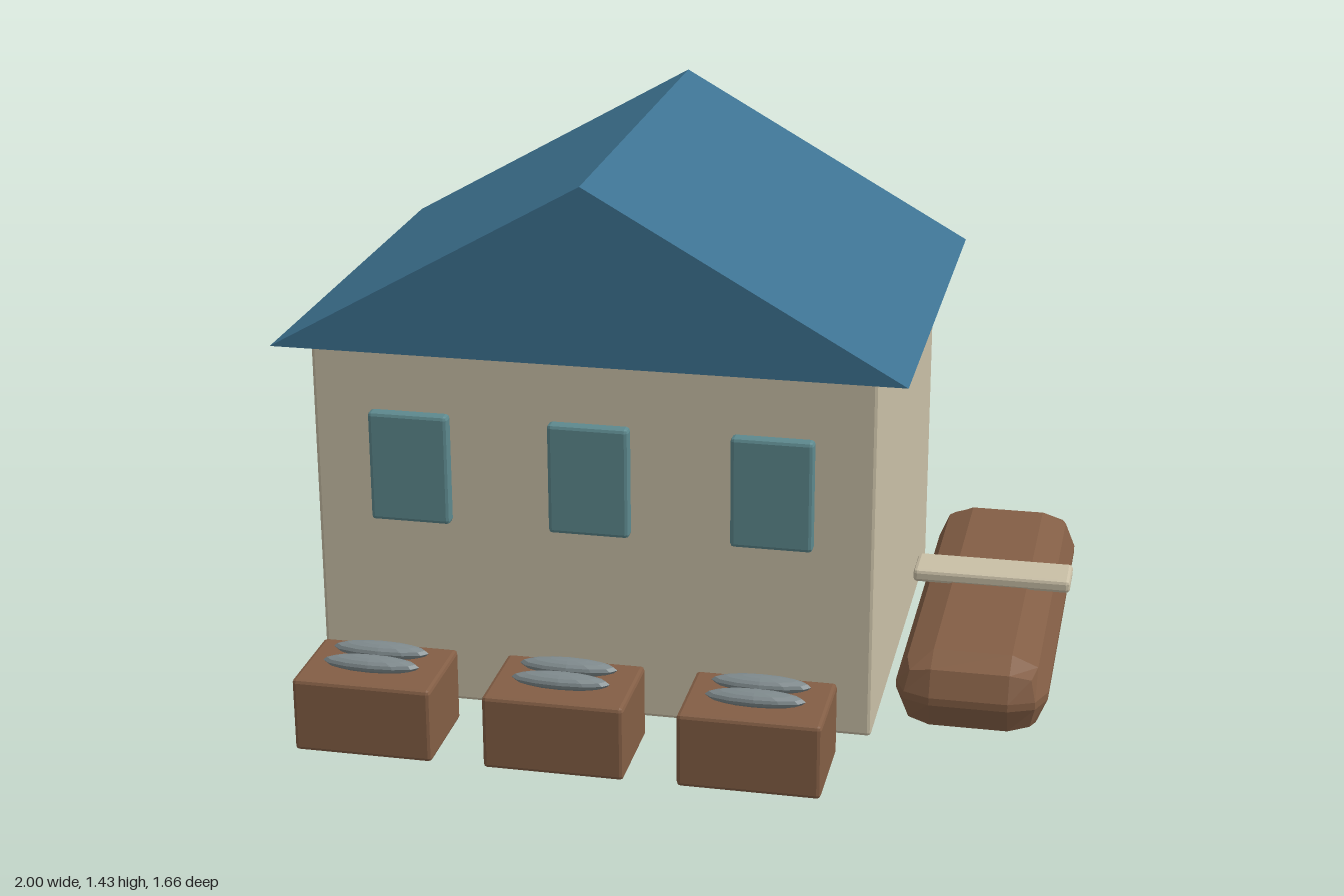
import * as THREE from 'three';
import { RoundedBoxGeometry } from 'three/addons/geometries/RoundedBoxGeometry.js';

const material = (name, color) => {
  const m = new THREE.MeshStandardMaterial({ color });
  m.name = name;
  return m;
};

// Gives every facet its own normal
function faceted(geometry) {
  const g = geometry.index ? geometry.toNonIndexed() : geometry;
  g.computeVertexNormals();
  return g;
}

export function createModel() {
  const model = new THREE.Group();
  model.name = 'boathouse';
  const plaster = material('plaster', 0xc9bfa6);
  const slate = material('blue roof', 0x3d7291);
  const wood = material('brown wood', 0x835e45);
  const glass = material('teal glass', 0x5d898e);
  const silver = material('fish silver', 0x7f8a8d);

  const add = (parent, name, geometry, mat) => {
    const mesh = new THREE.Mesh(geometry, mat);
    mesh.name = name;
    parent.add(mesh);
    return mesh;
  };

  // Bevelled box given by its min and max on each axis
  const block = (parent, name, mat, [x0, x1], [y0, y1], [z0, z1], radius) => {
    const g = faceted(new RoundedBoxGeometry(x1 - x0, y1 - y0, z1 - z0, 1, radius));
    add(parent, name, g, mat).position.set((x0 + x1) / 2, (y0 + y1) / 2, (z0 + z1) / 2);
  };

  // House walls
  block(model, 'walls', plaster, [-0.917, 0.54], [0, 0.978], [-0.765, 0.405], 0.01);

  // Gabled roof, a closed prism with overhanging eaves
  const gable = new THREE.Shape([
    new THREE.Vector2(-1, 0.977),
    new THREE.Vector2(0.62, 0.977),
    new THREE.Vector2(-0.19, 1.435),
  ]);
  const roof = new THREE.ExtrudeGeometry(gable, { depth: 1.305, bevelEnabled: false });
  add(model, 'roof', roof, slate).position.z = -0.832;

  const fishShape = faceted(new THREE.SphereGeometry(1, 12, 8));
  fishShape.scale(0.125, 0.021, 0.031);
  fishShape.computeVertexNormals();

  for (let i = -1; i <= 1; i++) {
    // Front windows
    const wx = -0.19 + i * 0.47;
    block(model, 'window', glass, [wx - 0.105, wx + 0.105], [0.508, 0.802], [0.395, 0.434], 0.01);

    // Crates, each with two fish on top
    const cx = -0.19 + i * 0.488;
    const crate = new THREE.Group();
    crate.name = 'fishCrate';
    model.add(crate);
    block(crate, 'crate', wood, [cx - 0.178, cx + 0.178], [0.036, 0.23], [0.575, 0.831], 0.01);
    for (const z of [0.655, 0.738]) {
      add(crate, 'fish', fishShape, silver).position.set(cx, 0.248, z);
    }
  }

  // Boat hull with a plank across it
  const boat = new THREE.Group();
  boat.name = 'boat';
  model.add(boat);
  block(boat, 'hull', wood, [0.59, 0.98], [0.01, 0.22], [-0.765, 0.405], 0.095);
  block(boat, 'seatPlank', plaster, [0.578, 1], [0.213, 0.249], [-0.245, -0.117], 0.01);

  return model;
}
